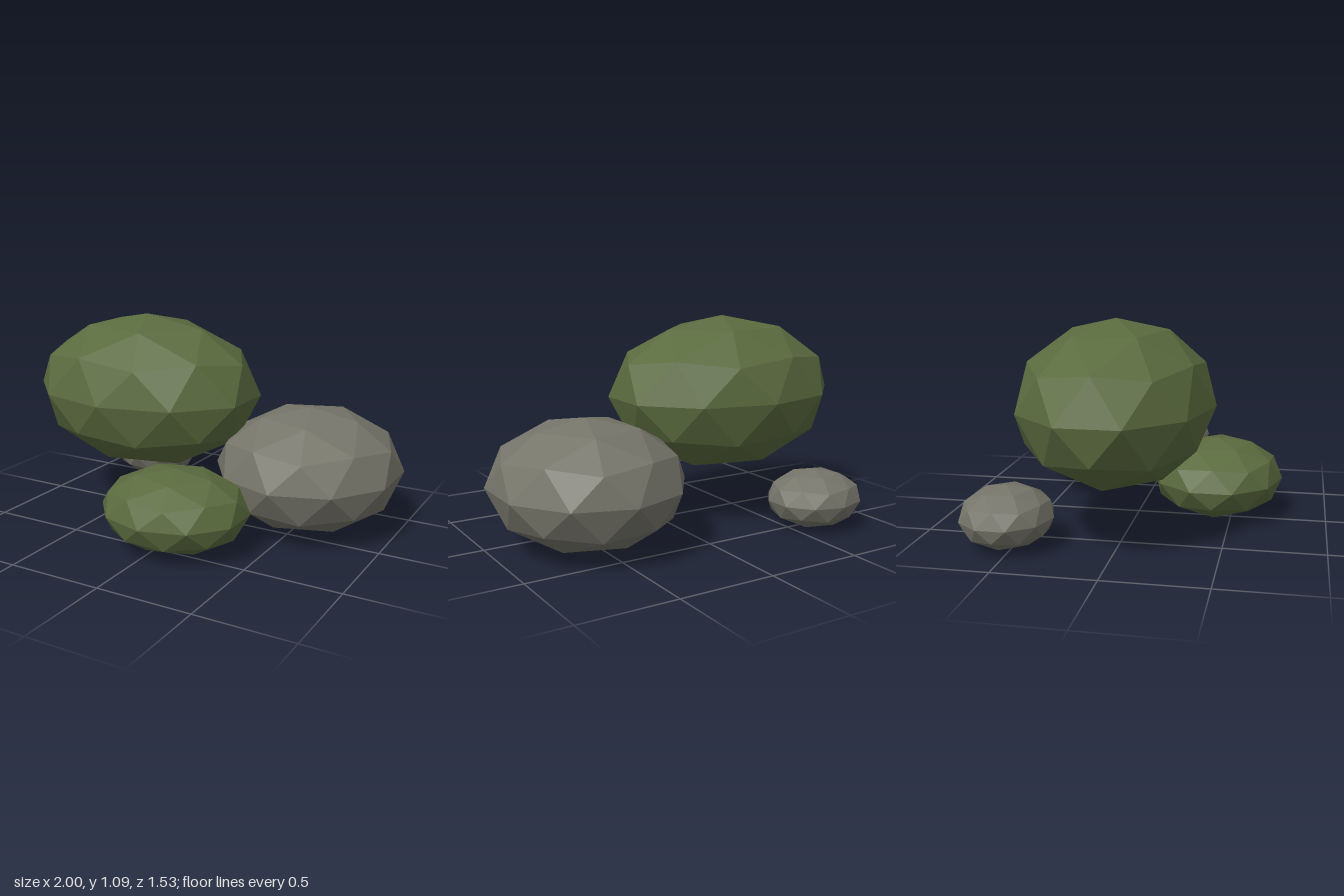
import * as THREE from 'three';

// Faceted icosphere with a vertex at each pole, stretched to three radii
function icoBlob(rx, ry, rz) {
  const verts = [0, 1, 0, 0, -1, 0];
  const faces = [];
  const h = 1 / Math.sqrt(5), r = 2 * h;
  for (let i = 0; i < 5; i++) {
    const a = (i * 2 * Math.PI) / 5, b = a + Math.PI / 5;
    verts.push(r * Math.cos(a), h, -r * Math.sin(a)); // upper ring
    verts.push(r * Math.cos(b), -h, -r * Math.sin(b)); // lower ring
    const n = (i + 1) % 5;
    const u = 2 + 2 * i, l = u + 1, u2 = 2 + 2 * n, l2 = u2 + 1;
    faces.push(0, u, u2, u, l, u2, l, l2, u2, 1, l2, l);
  }
  const geo = new THREE.PolyhedronGeometry(verts, faces, 1, 1);
  geo.scale(rx, ry, rz);
  geo.computeVertexNormals(); // unshared corners give flat facets
  return geo;
}

export function createModel() {
  const leaf = new THREE.MeshStandardMaterial({ color: 0x5b6b3f });
  leaf.name = 'mossGreen';
  const stone = new THREE.MeshStandardMaterial({ color: 0x76756a });
  stone.name = 'stoneGrey';

  // name, material, radii, centre
  const parts = [
    ['largeBush', leaf, [0.652, 0.415, 0.493], [-0.38, 0.677, -0.042]],
    ['smallBush', leaf, [0.389, 0.208, 0.345], [0.07, 0.208, 0.42]],
    ['largeRock', stone, [0.494, 0.325, 0.518], [0.53, 0.325, -0.197]],
    ['smallRock', stone, [0.26, 0.153, 0.235], [-0.645, 0.153, -0.532]],
  ];

  const group = new THREE.Group();
  group.name = 'bushesAndRocks';
  for (const [name, material, radii, centre] of parts) {
    const mesh = new THREE.Mesh(icoBlob(...radii), material);
    mesh.name = name;
    mesh.position.set(...centre);
    group.add(mesh);
  }
  return group;
}
